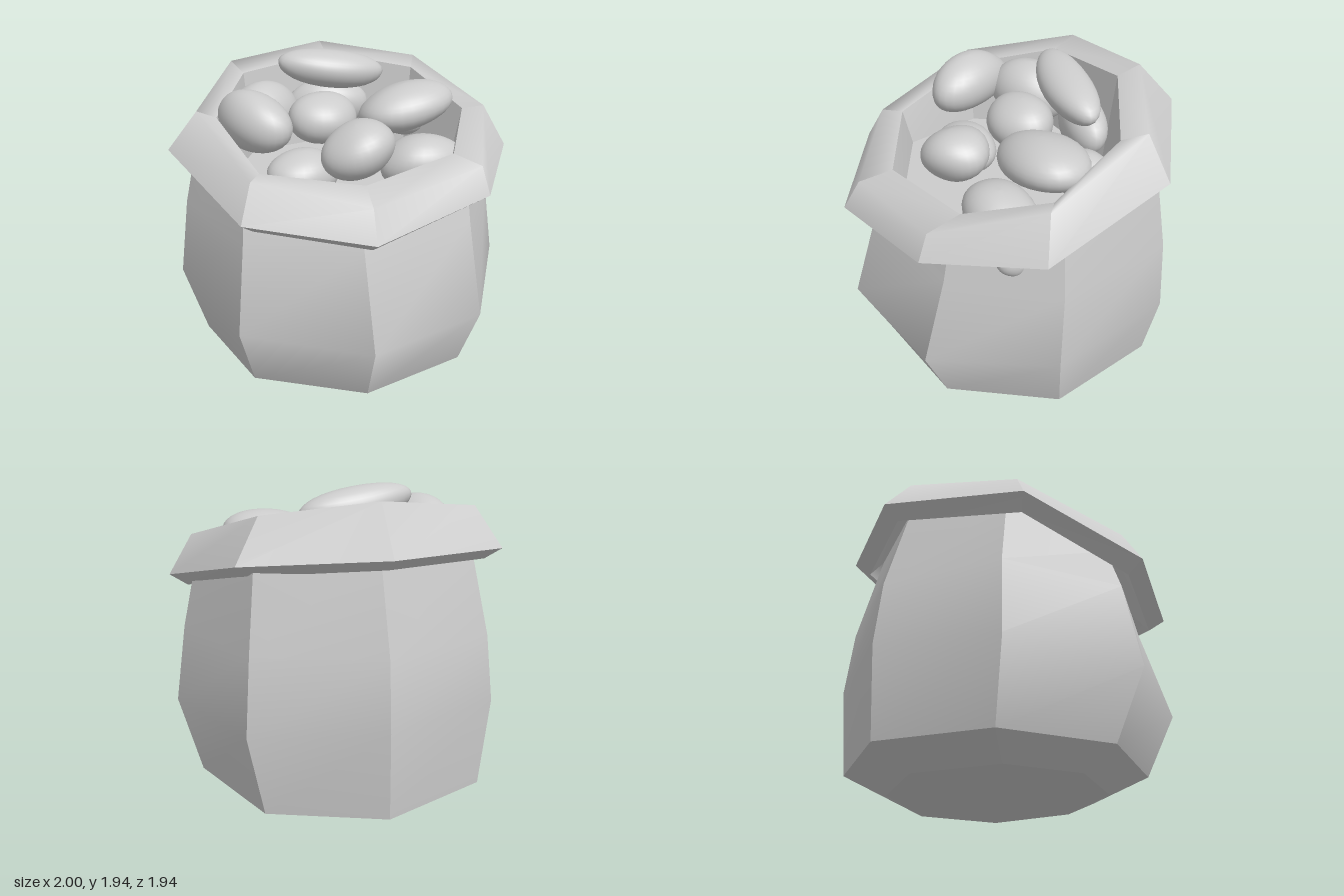
import * as THREE from 'three';

const material = new THREE.MeshStandardMaterial({ color: 0xcccccc });

// Ring of eight corners at one height, given as [x, z] pairs
const level = (y, pts) => pts.map(([x, z]) => [x, y, z]);
const point = (y) => Array.from({ length: 8 }, () => [0, y, 0]);

// Joins rings into eight panels: smooth along the profile, sharp between panels
function loft(name, rings) {
  const pos = [], index = [];
  for (let i = 0; i < 8; i++) {
    const start = pos.length / 3;
    rings.forEach((ring, r) => {
      pos.push(...ring[i], ...ring[(i + 1) % 8]);
      if (r === 0) return;
      const a = start + (r - 1) * 2;
      index.push(a, a + 1, a + 3, a, a + 3, a + 2);
    });
  }
  const geo = new THREE.BufferGeometry();
  geo.setAttribute('position', new THREE.Float32BufferAttribute(pos, 3));
  geo.setIndex(index);
  geo.computeVertexNormals();
  const mesh = new THREE.Mesh(geo, material);
  mesh.name = name;
  return mesh;
}

// Lumpy ellipsoid
function potato(center, radii, rot = [0, 0, 0], seed = 0) {
  const geo = new THREE.SphereGeometry(1, 28, 20);
  const p = geo.attributes.position;
  const v = new THREE.Vector3();
  for (let i = 0; i < p.count; i++) {
    v.fromBufferAttribute(p, i);
    const lump = 1 + 0.05 * Math.sin(2.6 * v.x + seed * 1.7) * Math.cos(2.2 * v.y + seed)
      + 0.04 * Math.sin(3.1 * v.z + 1.8 * v.y + seed * 2.3);
    v.multiplyScalar(lump);
    p.setXYZ(i, v.x * radii[0], v.y * radii[1], v.z * radii[2]);
  }
  geo.computeVertexNormals();
  // Close the shading seam of the sphere
  const n = geo.attributes.normal;
  for (let row = 0; row <= 20; row++) {
    const a = row * 29, b = a + 28;
    v.set(n.getX(a) + n.getX(b), n.getY(a) + n.getY(b), n.getZ(a) + n.getZ(b)).normalize();
    n.setXYZ(a, v.x, v.y, v.z);
    n.setXYZ(b, v.x, v.y, v.z);
  }
  const mesh = new THREE.Mesh(geo, material);
  mesh.name = 'potato';
  mesh.position.set(...center);
  mesh.rotation.set(...rot);
  return mesh;
}

export function createModel() {
  const model = new THREE.Group();
  model.name = 'sackOfPotatoes';

  // Corners run from front right round through the model's left to the back
  const bottom = level(0.01, [[-0.25, 0.55], [0.3, 0.55], [0.72, 0.2], [0.72, -0.33],
    [0.28, -0.68], [-0.24, -0.68], [-0.6, -0.28], [-0.6, 0.2]]);
  const foot = level(0.13, [[-0.3, 0.8], [0.4, 0.8], [0.9, 0.29], [0.9, -0.44],
    [0.38, -0.93], [-0.34, -0.93], [-0.8, -0.4], [-0.8, 0.3]]);
  const belly = [[-0.37, 0.52, 0.97], [0.42, 0.52, 0.95], [1, 0.6, 0.39], [1, 0.62, -0.43],
    [0.42, 0.68, -0.97], [-0.38, 0.68, -0.97], [-0.94, 0.6, -0.42], [-0.94, 0.55, 0.42]];
  const shoulder = level(1.08, [[-0.33, 0.79], [0.43, 0.79], [0.95, 0.34], [0.96, -0.42],
    [0.4, -0.93], [-0.36, -0.93], [-0.88, -0.4], [-0.86, 0.36]]);
  const neck = [[-0.31, 1.27, 0.72], [0.43, 1.32, 0.74], [0.88, 1.45, 0.3], [0.88, 1.6, -0.37],
    [0.36, 1.66, -0.79], [-0.33, 1.62, -0.79], [-0.8, 1.52, -0.34], [-0.81, 1.33, 0.3]];

  // Rolled rim, tilted up toward the back
  const lip = [[-0.37, 1.2, 0.97], [0.43, 1.3, 0.94], [0.96, 1.38, 0.48], [0.99, 1.57, -0.36],
    [0.42, 1.63, -0.97], [-0.4, 1.6, -0.97], [-1, 1.47, -0.32], [-0.92, 1.26, 0.48]];
  const hem = lip.map(([x, y, z]) => [x * 0.9, y - 0.07, z * 0.9]);
  const crest = [[-0.33, 1.37, 0.87], [0.42, 1.46, 0.87], [0.85, 1.63, 0.38], [0.82, 1.82, -0.33],
    [0.32, 1.9, -0.75], [-0.34, 1.83, -0.8], [-0.82, 1.69, -0.28], [-0.82, 1.47, 0.41]];
  const mouth = [[-0.25, 1.42, 0.68], [0.4, 1.47, 0.64], [0.76, 1.6, 0.28], [0.72, 1.77, -0.22],
    [0.28, 1.85, -0.61], [-0.33, 1.78, -0.64], [-0.72, 1.65, -0.22], [-0.72, 1.47, 0.32]];
  const floor = mouth.map(([x, , z]) => [x * 0.92, 1.25, z * 0.92]);

  model.add(
    loft('sackBottom', [point(0), bottom]),
    loft('sackBase', [bottom, foot]),
    loft('sackBody', [foot, belly, shoulder, neck]),
    loft('rimUnderside', [neck, hem]),
    loft('rimHem', [hem, lip]),
    loft('rimRoll', [lip, crest, mouth]),
    loft('innerWall', [mouth, floor]),
    loft('innerFloor', [floor, point(1.25)]),
  );

  // Heap of potatoes: centre, radii, rotation
  const potatoes = new THREE.Group();
  potatoes.name = 'potatoes';
  [
    [[-0.55, 1.63, -0.1], [0.17, 0.18, 0.3], [0, 0.17, 0]],
    [[0.15, 1.82, -0.32], [0.35, 0.12, 0.15], [0, -0.3, -0.15]],
    [[0.44, 1.62, 0.1], [0.33, 0.15, 0.22], [0, -0.08, 0.12]],
    [[-0.04, 1.56, -0.13], [0.23, 0.16, 0.2]],
    [[-0.07, 1.5, 0.35], [0.23, 0.16, 0.2], [0, 0, 0.25]],
    [[-0.31, 1.56, -0.42], [0.27, 0.2, 0.2], [0, 0.4, 0]],
    [[-0.31, 1.32, 0.1], [0.22, 0.14, 0.19]],
    [[0.4, 1.33, 0.37], [0.29, 0.18, 0.2], [0, -0.1, 0]],
    [[0.58, 1.5, -0.12], [0.16, 0.15, 0.16]],
    [[0.18, 1.55, -0.43], [0.26, 0.17, 0.14], [0, -0.4, 0]],
    [[0.67, 1.25, 0.5], [0.09, 0.09, 0.08]],
  ].forEach(([c, r, rot], i) => potatoes.add(potato(c, r, rot, i)));
  model.add(potatoes);

  return model;
}
